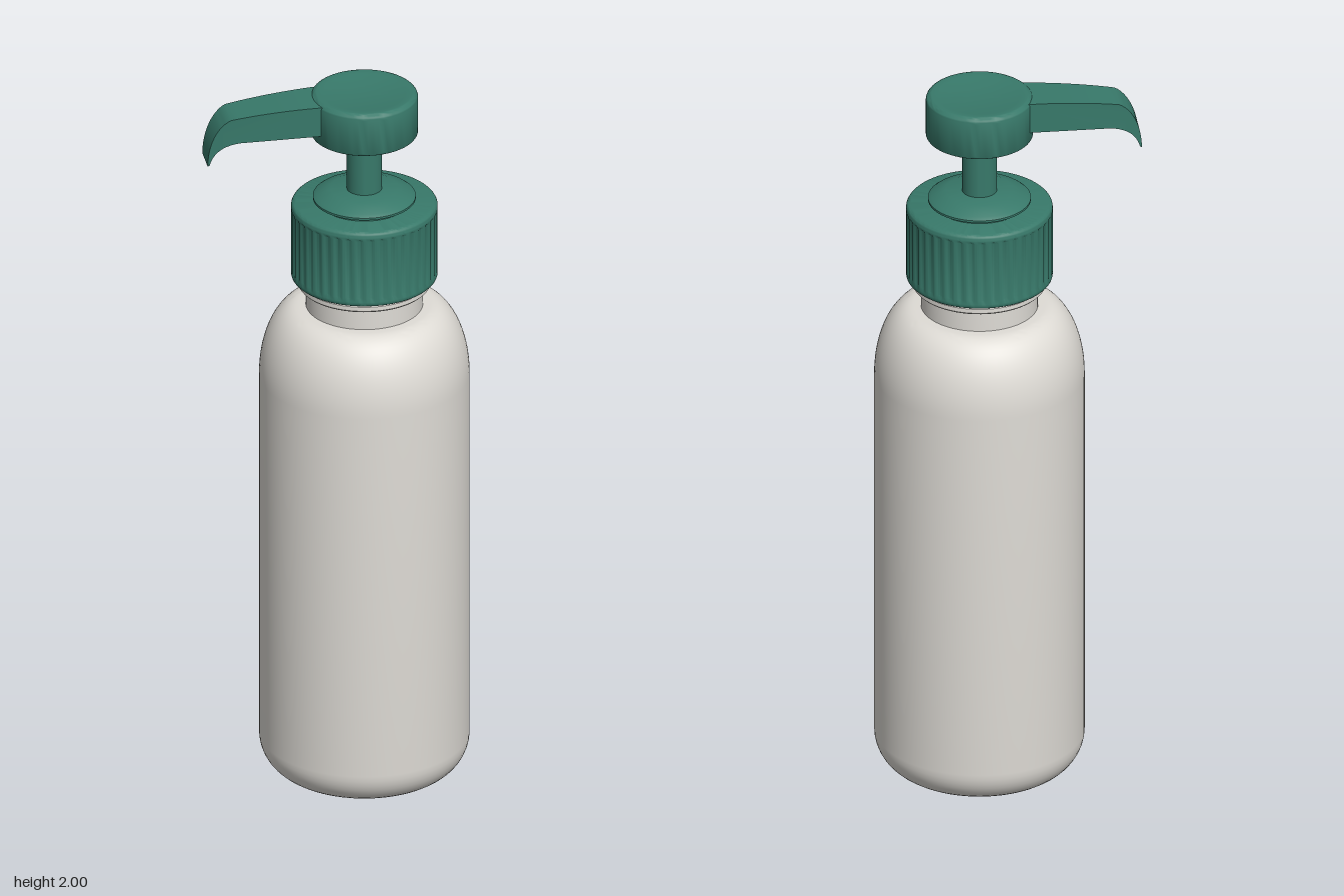
import * as THREE from 'three';
import { toCreasedNormals } from 'three/addons/utils/BufferGeometryUtils.js';

const AXIS_X = 0.073;

// Points of an elliptical corner from angle a to b (in quarter turns)
function corner(cx, cy, rx, ry, a, b, n = 8) {
  return Array.from({ length: n + 1 }, (_, i) => {
    const t = (a + (b - a) * i / n) * Math.PI / 2;
    return [cx + rx * Math.cos(t), cy + ry * Math.sin(t)];
  });
}

// Turned part standing on the bottle axis; profile runs bottom to top
function turned(name, profile, material, segments = 64, reshape = null) {
  const points = profile.map(([r, y]) => new THREE.Vector2(r, y));
  let geometry = new THREE.LatheGeometry(points, segments);
  if (reshape) reshape(geometry.attributes.position);
  geometry = toCreasedNormals(geometry, 0.6);
  const mesh = new THREE.Mesh(geometry, material);
  mesh.name = name;
  mesh.position.x = AXIS_X;
  return mesh;
}

export function createModel() {
  const bottleWhite = new THREE.MeshStandardMaterial({ color: 0xdfdcd6 });
  bottleWhite.name = 'warm white plastic';
  const pumpGreen = new THREE.MeshStandardMaterial({ color: 0x38796a });
  pumpGreen.name = 'green plastic';

  const group = new THREE.Group();
  group.name = 'pumpBottle';

  // Bottle with rounded base and shoulder
  group.add(turned('bottleBody', [
    [0, 0],
    ...corner(0.19, 0.1, 0.09, 0.1, -1, 0, 10),
    ...corner(0.175, 1.165, 0.105, 0.205, 0, 1, 16),
    [0.15, 1.37],
  ], bottleWhite, 96));

  // Neck with its bead just below the cap
  group.add(turned('bottleNeck', [
    [0.156, 1.36], [0.156, 1.43], [0.172, 1.43], [0.177, 1.435],
    [0.177, 1.447], [0.172, 1.452], [0.15, 1.452], [0.15, 1.47],
  ], bottleWhite));

  // Screw cap with fluted side between two smooth rims
  const flutes = 40;
  const fluteCap = (pos) => {
    for (let i = 0; i < pos.count; i++) {
      const x = pos.getX(i), y = pos.getY(i), z = pos.getZ(i);
      if (y < 1.475 || y > 1.655 || Math.hypot(x, z) < 0.19) continue;
      const wave = 0.5 - 0.5 * Math.cos(flutes * Math.atan2(z, x));
      const k = 1 - 0.025 * wave;
      pos.setXYZ(i, x * k, y, z * k);
    }
  };
  group.add(turned('screwCap', [
    [0, 1.456],
    ...corner(0.187, 1.464, 0.008, 0.008, -1, 0, 3),
    [0.195, 1.47], [0.195, 1.48], [0.195, 1.65], [0.195, 1.657],
    ...corner(0.181, 1.662, 0.014, 0.014, 0, 1, 5),
    [0, 1.676],
  ], pumpGreen, flutes * 6, fluteCap));

  // Collar where the stem enters the cap
  group.add(turned('pumpCollar', [
    [0.122, 1.67], [0.122, 1.682], [0.137, 1.686], [0.137, 1.692],
    [0.128, 1.699], [0.09, 1.714], [0, 1.715],
  ], pumpGreen));

  group.add(turned('pumpStem', [[0.047, 1.70], [0.047, 1.89]], pumpGreen, 40));

  // Press head with a shallow finger dish
  group.add(turned('pressHead', [
    [0, 1.878],
    ...corner(0.135, 1.886, 0.008, 0.008, -1, 0, 4),
    ...corner(0.127, 1.984, 0.016, 0.016, 0, 1, 6),
    [0.11, 1.998], [0.08, 1.994], [0.04, 1.991], [0, 1.99],
  ], pumpGreen));

  // Spout: side outline extruded across, then narrowed toward the tip
  const outline = new THREE.Shape();
  outline.moveTo(-0.03, 1.994);
  outline.lineTo(-0.06, 1.994);
  outline.bezierCurveTo(-0.13, 1.992, -0.22, 1.984, -0.295, 1.971);
  outline.bezierCurveTo(-0.33, 1.955, -0.357, 1.9, -0.357, 1.835);
  outline.lineTo(-0.352, 1.838);
  outline.bezierCurveTo(-0.342, 1.875, -0.315, 1.898, -0.27, 1.902);
  outline.lineTo(-0.03, 1.91);
  outline.closePath();
  let spoutGeometry = new THREE.ExtrudeGeometry(outline, {
    depth: 2, bevelEnabled: false, curveSegments: 12,
  });
  const pos = spoutGeometry.attributes.position;
  for (let i = 0; i < pos.count; i++) {
    const x = pos.getX(i);
    const half = x > -0.3
      ? THREE.MathUtils.mapLinear(x, -0.3, -0.055, 0.049, 0.063)
      : THREE.MathUtils.mapLinear(x, -0.357, -0.3, 0.041, 0.049);
    pos.setZ(i, (pos.getZ(i) - 1) * half);
  }
  spoutGeometry.deleteAttribute('normal');
  spoutGeometry = toCreasedNormals(spoutGeometry, 0.6);
  const spout = new THREE.Mesh(spoutGeometry, pumpGreen);
  spout.name = 'spout';
  group.add(spout);

  return group;
}
